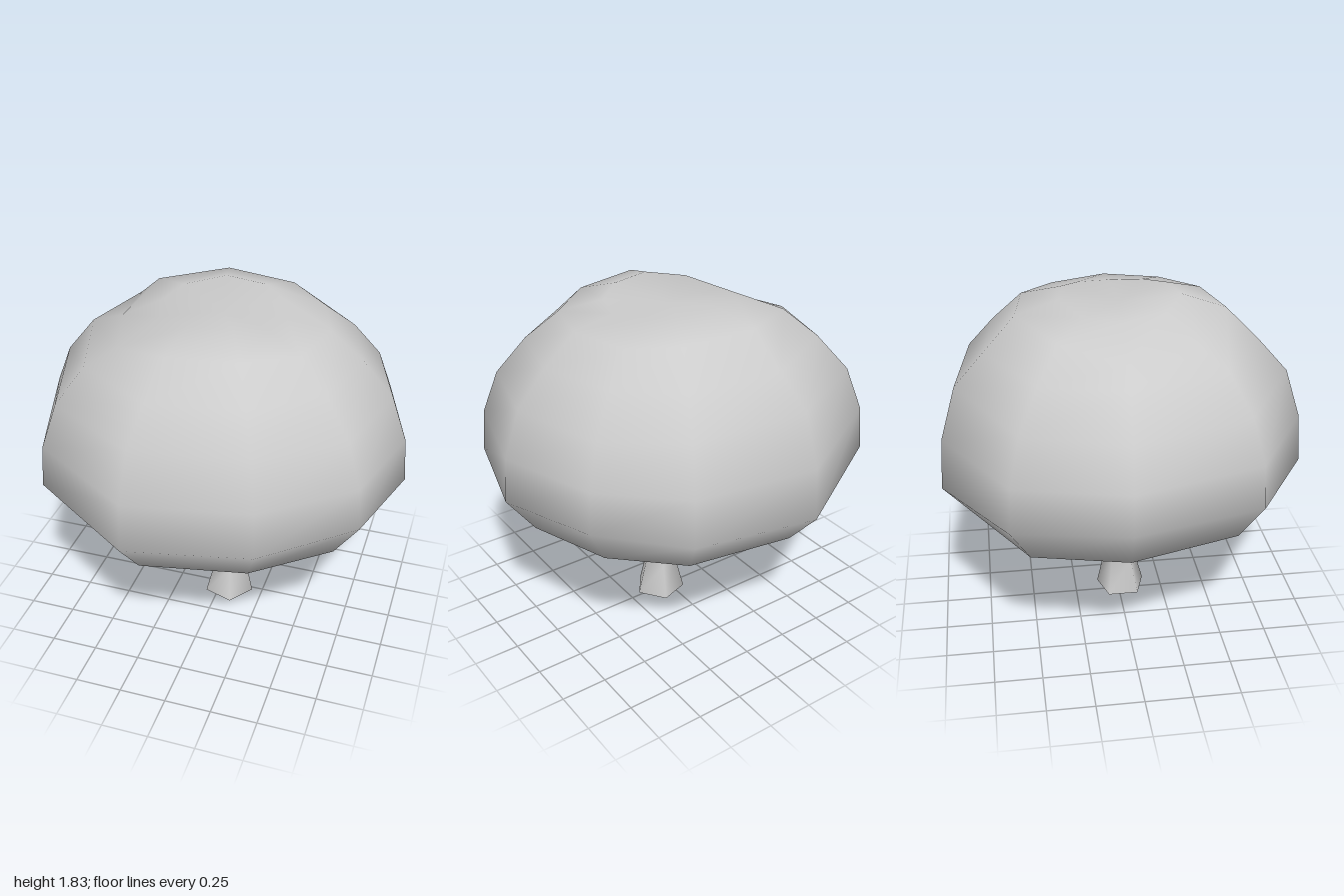
import * as THREE from 'three';
import { mergeVertices } from 'three/addons/utils/BufferGeometryUtils.js';

// Skin a stack of closed rings; each ring is a list of [x, y, z]
function loft(rings) {
  const n = rings[0].length;
  const index = [];
  for (let r = 0; r < rings.length - 1; r++) {
    for (let i = 0; i < n; i++) {
      const a = r * n + i, b = r * n + (i + 1) % n;
      index.push(a, a + n, b, b, a + n, b + n);
    }
  }
  const geo = new THREE.BufferGeometry();
  geo.setAttribute('position', new THREE.Float32BufferAttribute(rings.flat(2), 3));
  geo.setIndex(index);
  return geo;
}

function createCanopy() {
  // Widest outline seen from above, ten corners [x, z, lift]
  const outline = [
    [-0.23, -0.96, -1], [0.45, -0.87, -0.3], [0.83, -0.55, 0.5], [1, -0.02, 0], [0.86, 0.51, 0.4],
    [0.42, 0.84, -0.2], [-0.22, 0.955, -0.5], [-0.78, 0.62, 0.3], [-1, -0.06, 0.8], [-0.84, -0.63, 0.2],
  ];
  // [scale, height, unevenness, sag towards the sides] from the hollow underside,
  // round the rim, to the dented top
  const profile = [
    [0, 0.9, 0, 0], [0.12, 0.87, 0, 0], [0.26, 0.73, 0.015, 0], [0.42, 0.67, 0.015, 0],
    [0.61, 0.635, 0.015, 0], [0.845, 0.725, 0.025, 0], [1, 0.94, 0.06, 0], [0.98, 1.18, 0.02, 0],
    [0.895, 1.42, -0.02, 0], [0.735, 1.6, 0, 0], [0.56, 1.755, -0.02, 0.01],
    [0.33, 1.83, 0, 0.045], [0, 1.775, 0, 0],
  ];
  const rings = profile.map(([s, y, uneven, sag], r) => outline.map(([x, z, lift], i) => {
    // The upper left side has a dip
    const dip = r === 10 && (i === 7 || i === 8) ? 0.07 : 0;
    return [x * s, y + uneven * lift - sag * x * x - dip, z * s];
  }));
  const geo = mergeVertices(loft(rings));
  geo.computeVertexNormals();
  const canopy = new THREE.Mesh(geo, new THREE.MeshStandardMaterial({ color: 0xcccccc }));
  canopy.name = 'canopy';
  return canopy;
}

function createTrunk() {
  // Five-sided open tube: [radius, height, centre x, centre z]
  const sections = [
    [0.142, 0, 0.049, 0.019], [0.093, 0.2, 0.054, 0.012], [0.07, 0.38, 0.03, 0.017],
    [0.063, 0.65, 0.023, -0.006], [0.06, 0.95, 0.023, -0.006],
  ];
  const rings = sections.map(([r, y, cx, cz]) => Array.from({ length: 5 }, (_, i) => {
    const a = i * Math.PI * 2 / 5;
    return [cx + r * Math.cos(a), y, cz + r * Math.sin(a)];
  }));
  const geo = loft(rings);
  geo.computeVertexNormals();
  const material = new THREE.MeshStandardMaterial({ color: 0xcccccc, side: THREE.DoubleSide });
  const trunk = new THREE.Mesh(geo, material);
  trunk.name = 'trunk';
  return trunk;
}

export function createModel() {
  const tree = new THREE.Group();
  tree.name = 'tree';
  tree.add(createCanopy(), createTrunk());
  return tree;
}
